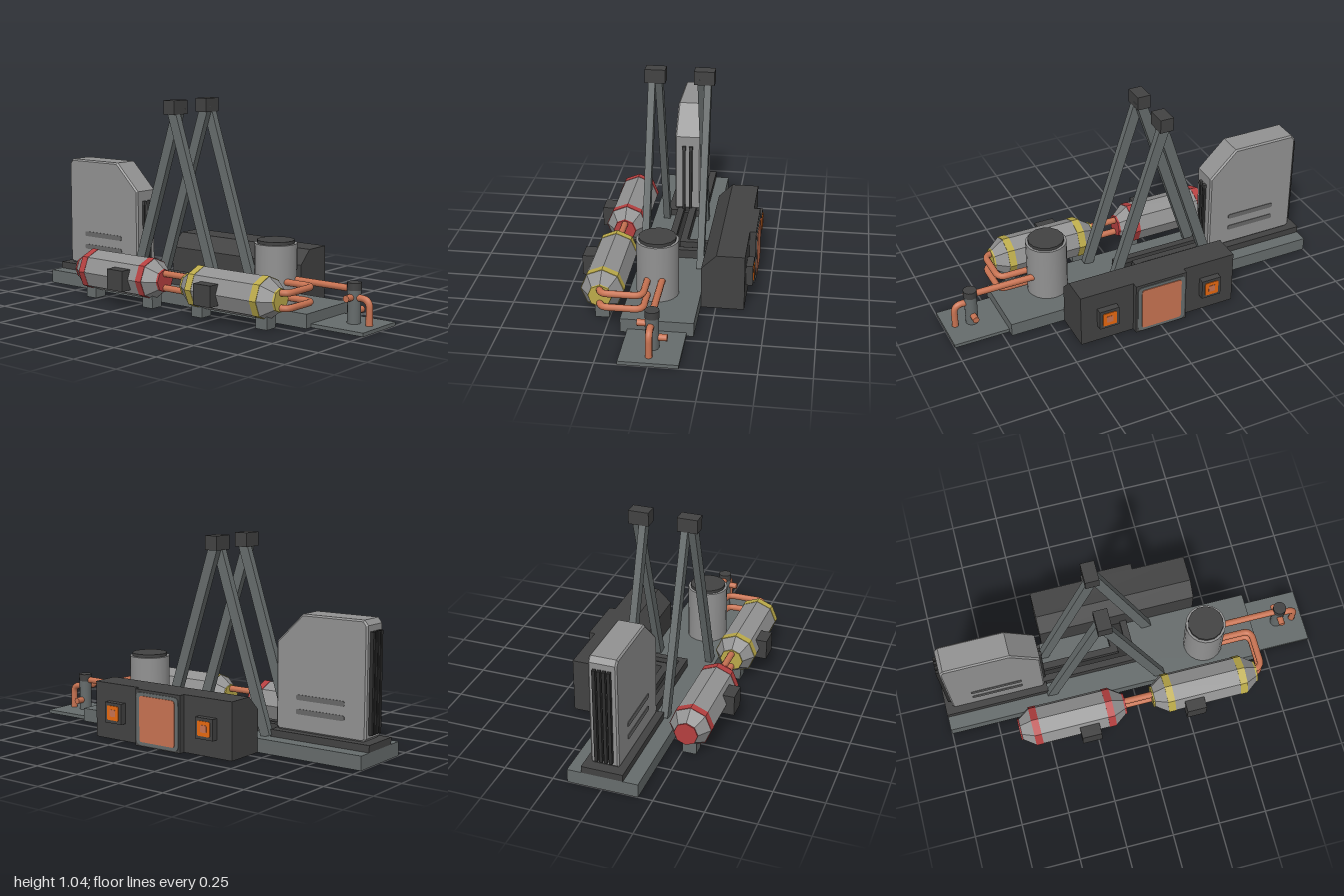
import * as THREE from 'three';

const mat = (name, color) => Object.assign(new THREE.MeshStandardMaterial({ color }), { name });
const M = {
  base: mat('slate', 0x666c6c),
  dark: mat('charcoal', 0x424242),
  black: mat('soot', 0x2e2e2e),
  grey: mat('steel grey', 0x929292),
  slot: mat('slot grey', 0x686868),
  copper: mat('copper', 0xc87352),
  orange: mat('glow orange', 0xea6a10),
  yellow: mat('band yellow', 0xbcab4a),
  red: mat('band red', 0xb64040),
};

export function createModel() {
  const root = new THREE.Group();
  root.name = 'powerUnit';

  const add = (name, geo, m, x = 0, y = 0, z = 0) => {
    const mesh = new THREE.Mesh(geo, m);
    mesh.name = name;
    mesh.position.set(x, y, z);
    root.add(mesh);
    return mesh;
  };
  // Box from its extents
  const box = (name, m, x0, x1, y0, y1, z0, z1) =>
    add(name, new THREE.BoxGeometry(x1 - x0, y1 - y0, z1 - z0), m, (x0 + x1) / 2, (y0 + y1) / 2, (z0 + z1) / 2);
  const post = (name, m, r, y0, y1, x, z, sides) =>
    add(name, new THREE.CylinderGeometry(r, r, y1 - y0, sides), m, x, (y0 + y1) / 2, z);
  // Eight-sided flat-shaded section lying along z
  const section = (name, m, x, y, z0, r0, z1, r1) => {
    const g = new THREE.CylinderGeometry(r1, r0, z1 - z0, 8).toNonIndexed();
    g.rotateX(Math.PI / 2);
    g.computeVertexNormals();
    return add(name, g, m, x, y, (z0 + z1) / 2);
  };
  // Pipe through points, with rounded corners
  const pipe = (name, pts, r = 0.017, bend = 0.045) => {
    const v = pts.map((p) => new THREE.Vector3(...p));
    const path = new THREE.CurvePath();
    let from = v[0];
    for (let i = 1; i < v.length - 1; i++) {
      const a = v[i].clone().add(v[i - 1].clone().sub(v[i]).setLength(bend));
      const b = v[i].clone().add(v[i + 1].clone().sub(v[i]).setLength(bend));
      path.add(new THREE.LineCurve3(from, a));
      path.add(new THREE.QuadraticBezierCurve3(a, v[i], b));
      from = b;
    }
    path.add(new THREE.LineCurve3(from, v[v.length - 1]));
    const g = new THREE.TubeGeometry(path, v.length > 2 ? 40 : 1, r, 10);
    add(name, g, M.copper);
    return g;
  };
  const polygon = (pts) => new THREE.Shape(pts.map((p) => new THREE.Vector2(...p)));
  // Rounded plate facing +x
  const plate = (name, m, w, h, r, depth, x, y, z) => {
    const s = new THREE.Shape();
    const a = w / 2, b = h / 2;
    s.moveTo(-a + r, -b).lineTo(a - r, -b).quadraticCurveTo(a, -b, a, -b + r);
    s.lineTo(a, b - r).quadraticCurveTo(a, b, a - r, b);
    s.lineTo(-a + r, b).quadraticCurveTo(-a, b, -a, b - r);
    s.lineTo(-a, -b + r).quadraticCurveTo(-a, -b, -a + r, -b);
    const g = new THREE.ExtrudeGeometry(s, { depth, bevelEnabled: false, curveSegments: 4 });
    g.rotateY(Math.PI / 2);
    return add(name, g, m, x, y, z);
  };

  // Base
  box('baseSlab', M.base, -0.178, 0.176, 0, 0.07, -1, 0.71);
  box('frontPlate', M.base, -0.142, 0.142, 0, 0.018, 0.71, 1);

  // Side housing with chamfered inner edge
  const housing = polygon([[0.177, 0], [0.39, 0], [0.39, 0.286], [0.25, 0.286], [0.177, 0.215]]);
  add('sideHousing', new THREE.ExtrudeGeometry(housing, { depth: 0.85, bevelEnabled: false }), M.dark, 0, 0, -0.425);
  box('panelBlock', M.dark, 0.39, 0.422, 0, 0.286, -0.14, 0.14);
  plate('panelFrame', M.base, 0.26, 0.265, 0.025, 0.004, 0.422, 0.14, 0);
  plate('copperPanel', M.copper, 0.218, 0.232, 0.015, 0.004, 0.426, 0.14, 0);
  for (const z of [-0.285, 0.285]) {
    box('lampBox', M.dark, 0.39, 0.424, 0.09, 0.195, z - 0.053, z + 0.053);
    plate('lampGlow', M.orange, 0.074, 0.074, 0.008, 0.004, 0.424, 0.143, z);
    plate('lampCore', M.copper, 0.036, 0.036, 0.006, 0.002, 0.428, 0.143, z);
  }

  // A-frames: front leg outside, rear leg inside
  const leg = (x, dir) => {
    const dz = 0.301, dy = 0.93;
    const m = add('frameLeg', new THREE.BoxGeometry(0.035, Math.hypot(dz, dy), 0.053), M.base, x, 0.535, -0.14 + dir * 0.1425);
    m.rotation.x = -dir * Math.atan2(dz, dy);
  };
  for (const s of [-1, 1]) {
    leg(s * 0.1425, 1);
    leg(s * 0.1075, -1);
    box('frameCap', M.dark, s * 0.125 - 0.052, s * 0.125 + 0.052, 0.965, 1.036, -0.177, -0.107);
  }

  // Rear tower
  box('towerPlinth', M.dark, -0.104, 0.104, 0.07, 0.105, -1, -0.45);
  const tower = polygon([[0.46, 0.12], [0.475, 0.105], [0.945, 0.105], [0.96, 0.12], [0.96, 0.655], [0.94, 0.68], [0.605, 0.68], [0.46, 0.537]]);
  const towerGeo = new THREE.ExtrudeGeometry(tower, { depth: 0.124, bevelThickness: 0.008, bevelSize: 0.008, bevelOffset: -0.008, bevelSegments: 1 });
  towerGeo.rotateY(Math.PI / 2);
  add('tower', towerGeo, M.grey, -0.062, 0, 0);
  for (const y of [0.205, 0.275]) {
    for (const s of [-1, 1]) {
      const slot = plate('sideSlot', M.slot, 0.27, 0.026, 0.012, 0.003, s * 0.07, y, -0.71);
      if (s < 0) slot.rotation.y = Math.PI;
    }
  }
  for (const x of [-0.036, -0.012, 0.012, 0.036]) {
    box('rearFin', M.black, x - 0.008, x + 0.008, 0.135, 0.625, -0.978, -0.955);
  }

  // Conduits from the housing to the tower front
  for (const [x, z, h] of [[-0.035, 0.04, 0.115], [0.03, -0.045, 0.12]]) {
    box('floorConduit', M.dark, x - 0.018, x + 0.018, 0.07, h, -0.46, z);
    box('floorConduitTurn', M.dark, x - 0.018, 0.18, 0.07, h, z - 0.026, z + 0.01);
  }
  box('conduitBed', M.black, -0.02, 0.02, 0.07, 0.09, -0.46, 0.02);
  box('conduitBedTurn', M.black, -0.02, 0.18, 0.07, 0.09, -0.04, 0.02);
  for (const x of [-0.02, 0.017]) {
    box('towerCable', M.black, x - 0.008, x + 0.008, 0.1, 0.47, -0.465, -0.447);
    box('cableClamp', M.dark, x - 0.01, x + 0.01, 0.465, 0.484, -0.468, -0.445);
  }

  // Canisters with bands, feet and clamps
  const cx = -0.286, cy = 0.145, R = 0.105;
  for (const [c, band, clampZ] of [[0.355, M.yellow, 0.28], [-0.362, M.red, -0.287]]) {
    section('canisterBody', M.grey, cx, cy, c - 0.215, R, c + 0.215, R);
    section('canisterFrontCone', M.grey, cx, cy, c + 0.215, R, c + 0.278, 0.058);
    section('canisterRearCone', M.grey, cx, cy, c - 0.278, 0.058, c - 0.215, R);
    for (const s of [-1, 1]) {
      const b = c + s * 0.197, e = c + s * 0.28;
      section('canisterBand', band, cx, cy, b - 0.019, R + 0.002, b + 0.019, R + 0.002);
      section('canisterEndCap', band, cx, cy, e - 0.006, 0.06, e + 0.006, 0.058);
      box('canisterFoot', M.base, -0.321, -0.251, 0, 0.08, b - 0.033, b + 0.033);
    }
    box('canisterClamp', M.dark, -0.43, -0.37, 0.09, 0.195, clampZ - 0.052, clampZ + 0.052);
  }

  // Tank
  post('tank', M.grey, 0.105, 0.07, 0.36, -0.037, 0.425, 20);
  post('tankLid', M.dark, 0.093, 0.36, 0.376, -0.037, 0.425, 14);

  // Copper pipes
  for (const y of [0.108, 0.181]) {
    pipe('canisterLink', [[cx, y, -0.09], [cx, y, 0.08]]);
    pipe('canisterToTank', [[cx, y, 0.62], [cx, y, 0.675], [-0.074, y, 0.675], [-0.074, y, 0.48]]);
  }
  pipe('tankToValve', [[-0.003, 0.183, 0.5], [-0.003, 0.183, 0.85]]);
  pipe('valveOutlet', [[-0.003, 0.143, 0.86], [-0.003, 0.143, 0.945], [-0.003, 0.015, 0.945]]);

  // Valve post with closed side stubs
  post('valvePost', M.base, 0.033, 0.018, 0.18, 0, 0.857, 12);
  post('valveCap', M.dark, 0.035, 0.178, 0.215, 0, 0.857, 12);
  for (const [x, y] of [[-0.045, 0.145], [0.045, 0.073]]) {
    const g = new THREE.CylinderGeometry(0.017, 0.017, 0.052, 10);
    g.rotateZ(Math.PI / 2);
    add('valveStub', g, M.copper, x, y, 0.857);
  }
  return root;
}
